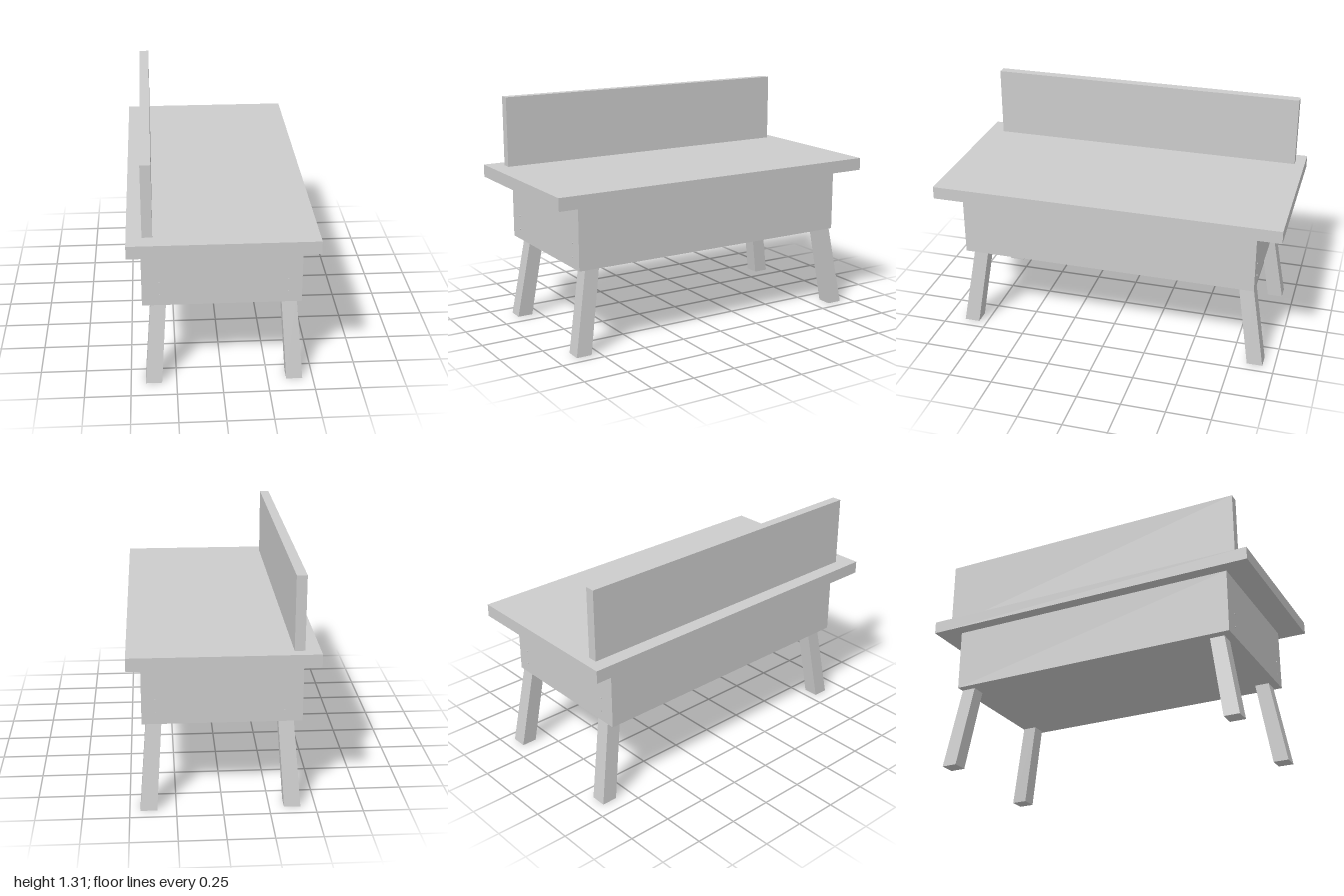
import * as THREE from 'three';

const material = new THREE.MeshStandardMaterial({ color: 0xcccccc, flatShading: true });

// Box given by its [min, max] range on each axis
function box(name, [x0, x1], [y0, y1], [z0, z1]) {
  const mesh = new THREE.Mesh(new THREE.BoxGeometry(x1 - x0, y1 - y0, z1 - z0), material);
  mesh.position.set((x0 + x1) / 2, (y0 + y1) / 2, (z0 + z1) / 2);
  mesh.name = name;
  return mesh;
}

// Splayed, slightly tapered leg: level foot at y = 0, level top at the given height
function leg(name, height, foot, top) {
  const geometry = new THREE.BoxGeometry(1, 1, 1);
  const p = geometry.attributes.position;
  for (let i = 0; i < p.count; i++) {
    const upper = p.getY(i) > 0;
    const end = upper ? top : foot;
    p.setXYZ(i, end.x + p.getX(i) * end.size, upper ? height : 0, end.z + p.getZ(i) * end.size);
  }
  geometry.computeVertexNormals();
  const mesh = new THREE.Mesh(geometry, material);
  mesh.name = name;
  return mesh;
}

export function createModel() {
  const group = new THREE.Group();
  group.name = 'bench';

  // Top board, deep apron box and upright back panel
  group.add(
    box('tabletop', [-0.5, 0.5], [0.835, 0.907], [-1, 1]),
    box('apron', [-0.428, 0.427], [0.475, 0.835], [-0.855, 0.855]),
    box('backPanel', [-0.418, -0.363], [0.907, 1.31], [-0.942, 0.905])
  );

  // Four legs leaning outwards
  const xs = [['Right', -0.375, -0.34], ['Left', 0.398, 0.364]];
  const zs = [['front', 0.844, 0.768], ['back', -0.887, -0.81]];
  for (const [side, footX, topX] of xs) {
    for (const [end, footZ, topZ] of zs) {
      group.add(leg(`${end}${side}Leg`, 0.476,
        { x: footX, z: footZ, size: 0.089 }, { x: topX, z: topZ, size: 0.083 }));
    }
  }

  // Small screw heads, two above each leg on both ends of the apron
  const screwGeometry = new THREE.CylinderGeometry(0.004, 0.004, 0.008, 8).rotateX(Math.PI / 2);
  for (const z of [-0.855, 0.855]) {
    for (const x of [-0.333, 0.354]) {
      for (const y of [0.537, 0.613]) {
        const screw = new THREE.Mesh(screwGeometry, material);
        screw.position.set(x, y, z);
        screw.name = 'screw';
        group.add(screw);
      }
    }
  }
  return group;
}
